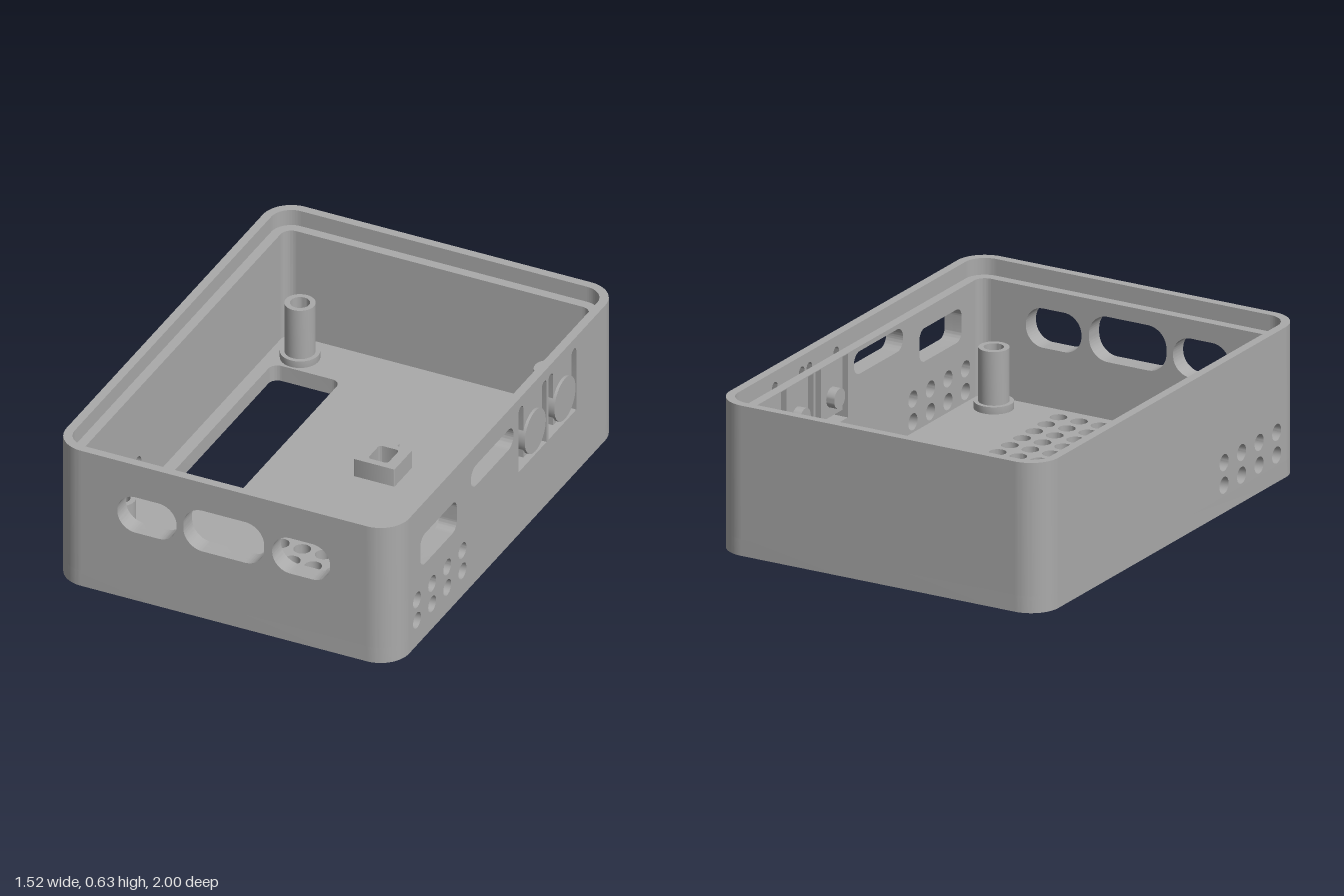
import * as THREE from 'three';
import { toCreasedNormals } from 'three/addons/utils/BufferGeometryUtils.js';

const CX = -0.0075, HX = 0.7525, HZ = 1;      // outline centre and half sizes
const R = 0.125;                              // outer corner radius
const FLOOR = 0.07, LEDGE = 0.56, TOP = 0.63; // heights
const LIP = 0.037, WALL = 0.078;              // lip and full wall thickness

export function createModel() {
  const group = new THREE.Group();
  const grey = new THREE.MeshStandardMaterial({ color: 0xaaaaaa });
  grey.name = 'grey plastic';

  const add = (name, geometry) => {
    const mesh = new THREE.Mesh(toCreasedNormals(geometry, 0.5), grey);
    mesh.name = name;
    group.add(mesh);
    return mesh;
  };
  const extrude = (shape, depth) =>
    new THREE.ExtrudeGeometry(shape, { depth, bevelEnabled: false, curveSegments: 12 });

  // Rounded rectangle from min and max corners
  const rounded = (x0, y0, x1, y1, r, Type = THREE.Path) => {
    const p = new Type();
    p.moveTo(x0 + r, y0);
    p.lineTo(x1 - r, y0);
    p.absarc(x1 - r, y0 + r, r, -Math.PI / 2, 0);
    p.lineTo(x1, y1 - r);
    p.absarc(x1 - r, y1 - r, r, 0, Math.PI / 2);
    p.lineTo(x0 + r, y1);
    p.absarc(x0 + r, y1 - r, r, Math.PI / 2, Math.PI);
    p.lineTo(x0, y0 + r);
    p.absarc(x0 + r, y0 + r, r, Math.PI, Math.PI * 1.5);
    return p;
  };
  const circle = (x, y, r) => new THREE.Path().absarc(x, y, r, 0, Math.PI * 2);

  // U-shaped gap that leaves a flexible tongue for a button
  const buttonGap = (c, top) => {
    const o = 0.125, w = 0.043, r = w / 2, y0 = 0.29, y1 = 0.335;
    const p = new THREE.Path();
    p.moveTo(c - o, y0);
    p.lineTo(c + o, y0);
    if (top < TOP) {
      p.lineTo(c + o, top);
      p.lineTo(c + o - w, top);
    } else {
      p.absarc(c + o - r, 0.585 - r, r, 0, Math.PI);
    }
    p.lineTo(c + o - w, y1);
    p.lineTo(c - o + w, y1);
    if (top < TOP) {
      p.lineTo(c - o + w, top);
      p.lineTo(c - o, top);
    } else {
      p.absarc(c - o + r, 0.585 - r, r, 0, Math.PI);
    }
    p.lineTo(c - o, y0);
    return p;
  };

  // Floor with window, vent grid and screw holes
  const postX = [-0.555, 0.54], postZ = [-0.79, 0.81];
  const floor = rounded(CX - HX, -HZ, CX + HX, HZ, R, THREE.Shape);
  floor.holes.push(rounded(-0.63, -0.7, -0.33, 0.215, 0.04));
  for (let i = 0; i < 4; i++)
    for (let j = 0; j < 6; j++)
      floor.holes.push(circle(-0.018 + i * 0.094, 0.377 + j * 0.0935, 0.035));
  for (const x of postX) for (const z of postZ) floor.holes.push(circle(x, z, 0.065));
  add('floor', extrude(floor, FLOOR).rotateX(Math.PI / 2).translate(0, FLOOR, 0));

  // Openings of each wall
  const buttons = [-0.225, -0.49];
  const vents = () => {
    const list = [];
    for (const z of [0.4, 0.535, 0.67, 0.805])
      for (const y of [0.115, 0.21]) list.push(circle(z, y, 0.035));
    return list;
  };
  const frontHoles = () => [
    rounded(-0.475, 0.315, -0.215, 0.48, 0.08),
    rounded(-0.185, 0.31, 0.17, 0.5, 0.085),
    rounded(0.205, 0.315, 0.46, 0.48, 0.08),
  ];
  const rightHoles = (top) => [
    ...vents(),
    rounded(0.45, 0.34, 0.775, 0.48, 0.04),
    rounded(-0.055, 0.445, 0.325, 0.54, 0.046),
    ...buttons.map((z) => buttonGap(z, top)),
  ];

  const panel = (u0, u1, top, holes, depth) => {
    const s = new THREE.Shape();
    s.moveTo(u0, FLOOR);
    s.lineTo(u1, FLOOR);
    s.lineTo(u1, top);
    s.lineTo(u0, top);
    s.holes.push(...holes);
    return extrude(s, depth);
  };

  // Walls in two layers: the outer rises to the lip, the inner stops at the ledge
  const layers = [
    { name: 'outer', near: 0, far: LIP, top: TOP, gapTop: TOP },
    { name: 'inner', near: LIP, far: WALL, top: LEDGE, gapTop: LEDGE - 0.003 },
  ];
  for (const { name, near, far, top, gapTop } of layers) {
    const d = far - near;
    const x0 = CX - HX + R, x1 = CX + HX - R, z1 = HZ - R;
    add(name + ' front wall', panel(x0, x1, top, frontHoles(), d).translate(0, 0, HZ - far));
    add(name + ' back wall', panel(x0, x1, top, [], d).translate(0, 0, -HZ + near));
    add(name + ' side wall with buttons', panel(-z1, z1, top, rightHoles(gapTop), d)
      .rotateY(-Math.PI / 2).translate(CX + HX - near, 0, 0));
    add(name + ' vented side wall', panel(-z1, z1, top, vents(), d)
      .rotateY(-Math.PI / 2).translate(CX - HX + far, 0, 0));

    // Rounded corners
    [[x1, z1], [x0, z1], [x0, -z1], [x1, -z1]].forEach(([x, z], i) => {
      const a = i * Math.PI / 2, b = a + Math.PI / 2;
      const s = new THREE.Shape();
      s.absarc(x, z, R - near, a, b, false);
      s.absarc(x, z, R - far, b, a, true);
      add(name + ' corner', extrude(s, top - FLOOR).rotateX(Math.PI / 2).translate(0, top, 0));
    });
  }

  // Hollow screw posts with a collar and a counterbore below
  const profile = [
    [0.04, 0.325], [0.04, 0.04], [0.065, 0.04], [0.065, 0], [0.08, FLOOR],
    [0.08, 0.1], [0.062, 0.1], [0.062, 0.325], [0.04, 0.325],
  ].map(([r, y]) => new THREE.Vector2(r, y));
  for (const x of postX)
    for (const z of postZ) add('screwPost', new THREE.LatheGeometry(profile, 32)).position.set(x, 0, z);

  // Round button caps outside, plunger pegs inside
  const disc = (name, r, xa, xb, z) =>
    add(name, new THREE.CylinderGeometry(r, r, xb - xa, 32).rotateZ(Math.PI / 2))
      .position.set((xa + xb) / 2, 0.415, z);
  for (const z of buttons) {
    disc('buttonCap', 0.094, 0.7, 0.757, z);
    disc('buttonPeg', 0.042, 0.63, 0.7, z);
  }

  // Small socket with a square pocket and a key tab on the floor
  const socket = rounded(0.02, -0.26, 0.2, -0.1, 0.005, THREE.Shape);
  socket.holes.push(rounded(0.068, -0.235, 0.155, -0.13, 0.015));
  add('socket', extrude(socket, 0.08).rotateX(Math.PI / 2).translate(0, 0.15, 0));
  add('socketTab', new THREE.BoxGeometry(0.044, 0.08, 0.02)).position.set(0.111, 0.11, -0.27);

  return group;
}
